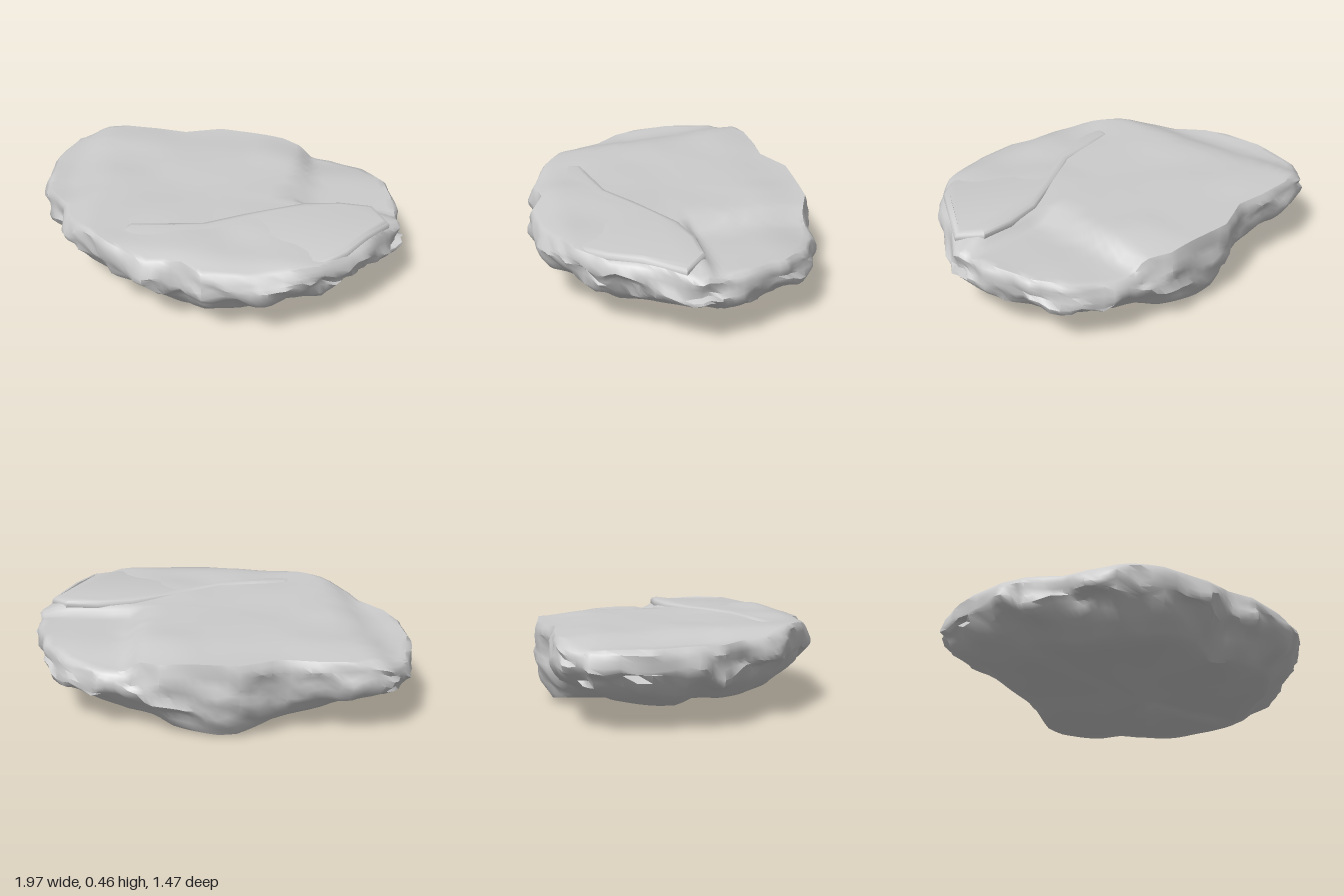
import * as THREE from 'three';
import { toCreasedNormals } from 'three/addons/utils/BufferGeometryUtils.js';

// Plan outline of the slab as x, z pairs, running from +x towards +z
const OUTLINE = [
  [1, 0.04], [0.91, 0.2], [0.83, 0.35], [0.77, 0.46], [0.64, 0.59], [0.48, 0.66], [0.33, 0.71], [0.1, 0.73],
  [-0.02, 0.67], [-0.2, 0.69], [-0.42, 0.6], [-0.62, 0.47], [-0.72, 0.36], [-0.77, 0.24], [-0.9, 0.11],
  [-0.95, -0.02], [-0.99, -0.24], [-0.95, -0.52], [-0.84, -0.62], [-0.7, -0.67], [-0.5, -0.67], [-0.32, -0.65],
  [-0.12, -0.73], [0.1, -0.72], [0.26, -0.72], [0.4, -0.66], [0.56, -0.64], [0.75, -0.55], [0.88, -0.4],
  [0.94, -0.23], [0.97, -0.09],
];
const SUB = 4;

// Cross-section of the rim: height fraction, and how far in towards the base edge
const RIM = [
  [1, 0.16], [0.93, 0.08], [0.83, 0.03], [0.72, 0], [0.62, 0], [0.52, 0.04],
  [0.42, 0.14], [0.32, 0.28], [0.22, 0.45], [0.13, 0.66], [0.05, 0.86], [0, 1],
];
const TOP = [0, 0.15, 0.3, 0.42, 0.5, 0.58, 0.66, 0.74, 0.82, 0.88, 0.93];
const BASE = [0.88, 0.72, 0.54, 0.36, 0.18, 0];

const { smoothstep: step, lerp } = THREE.MathUtils;
const hash = (x, y, z) => {
  const s = Math.sin(x * 127.1 + y * 311.7 + z * 74.7) * 43758.5453;
  return s - Math.floor(s) - 0.5;
};

// Continuous lumps between -0.5 and 0.5
function lumps(x, y, z) {
  const a = Math.floor(x), b = Math.floor(y), c = Math.floor(z);
  const u = step(x - a, 0.1, 0.9), v = step(y - b, 0.15, 0.85), w = step(z - c, 0.1, 0.9);
  const row = (j, k) => lerp(hash(a, b + j, c + k), hash(a + 1, b + j, c + k), u);
  return lerp(lerp(row(0, 0), row(1, 0), v), lerp(row(0, 1), row(1, 1), v), w);
}

// Nearly level top with lower shelves at -x and at the back +x corner
function topHeight(x, z) {
  const leftShelf = 0.045 * step(-x + 0.2 * z, 0.62, 0.78);
  const backShelf = 0.05 * step(x - 0.1 * z, 0.42, 0.5) * step(-z, -0.02, 0.06) + 0.03 * step(x, 0.1, 0.5) * step(-z, 0.3, 0.65);
  const frontWear = 0.04 * step(z, 0.55, 0.74) + 0.05 * step(x, 0.82, 0.97) * step(z, -0.1, 0.05);
  return 0.432 - leftShelf - backShelf - frontWear - 0.015 * step(-z, 0.4, 0.7) + 0.016 * lumps(x * 4, 4, z * 4);
}

// Keel-like underside, deepest behind the middle
function baseHeight(x, z) {
  const across = x > 0 ? 0.1 * x : 0.04 * step(-x, 0, 0.35) + 0.03 * step(-x, 0.3, 0.8);
  const along = 0.03 * step(z, -0.09, -0.01) + (z > 0 ? 0.16 : 0.03) * z * z;
  return 0.015 + across + along + 0.3 * x * x * z * z + 0.045 * lumps(x * 5, 8, z * 5);
}

// Size of the underside relative to the outline
const baseScale = (x, z) => 0.76 + 0.12 * step(-z, 0, 0.6) * step(x, -0.6, -0.1) * (1 - 0.8 * step(x, 0, 0.4))
  - 0.04 * step(-x, 0.3, 0.9);

function rockGeometry() {
  // Subdivided outline
  const loop = [];
  OUTLINE.forEach(([x, z], i) => {
    const [nx, nz] = OUTLINE[(i + 1) % OUTLINE.length];
    for (let s = 0; s < SUB; s++) loop.push([lerp(x, nx, s / SUB), lerp(z, nz, s / SUB)]);
  });
  const n = loop.length;
  const positions = [];

  // Rings from the top centre, over the rim, to the base centre
  TOP.forEach((k) => loop.forEach(([x, z]) => positions.push(x * k, topHeight(x * k, z * k), z * k)));
  RIM.forEach(([v, inset]) => loop.forEach(([x, z]) => {
    const k = 1 - (1 - baseScale(x, z)) * inset;
    const px = x * k, pz = z * k;
    const lo = baseHeight(px, pz), y = lerp(lo, topHeight(px, pz), v);
    const bulge = Math.sin(v * Math.PI);
    const relief = 1 + bulge * (0.08 * lumps(px * 6, y * 16, pz * 6) + 0.05 * lumps(px * 13, y * 24, pz * 13) - 0.008);
    const lift = 0.07 * bulge * lumps(px * 8, y * 9 + 20, pz * 8);
    positions.push(px * relief, y + lift, pz * relief);
  }));
  BASE.forEach((f) => loop.forEach(([x, z]) => {
    const k = f * baseScale(x, z);
    positions.push(x * k, baseHeight(x * k, z * k), z * k);
  }));

  const rings = positions.length / 3 / n;
  const index = [];
  for (let r = 0; r < rings - 1; r++) for (let i = 0; i < n; i++) {
    const j = (i + 1) % n;
    const a = r * n + i, b = r * n + j, c = a + n, d = b + n;
    if (r < rings - 2) index.push(b, d, c);
    if (r > 0) index.push(a, b, c);
  }
  const geometry = new THREE.BufferGeometry();
  geometry.setAttribute('position', new THREE.Float32BufferAttribute(positions, 3));
  geometry.setIndex(index);
  return toCreasedNormals(geometry, Math.PI / 4);
}

// Raised plate over the front, rising towards +x, with an uneven worn edge
const PLATE = [
  [0.91, 0.1], [0.82, 0], [0.66, 0], [0.48, 0.04], [0.34, 0.12], [0.2, 0.2], [0.02, 0.32], [-0.16, 0.36],
  [-0.34, 0.4], [-0.42, 0.53], [-0.2, 0.62], [-0.03, 0.62], [0.1, 0.66], [0.32, 0.65], [0.47, 0.61],
  [0.62, 0.54], [0.74, 0.43], [0.82, 0.28],
];

function plateGeometry() {
  const shape = new THREE.Shape(PLATE.map(([x, z]) => new THREE.Vector2(x, -z)));
  const geometry = new THREE.ExtrudeGeometry(shape, {
    depth: 0.03, bevelThickness: 0.015, bevelSize: 0.03, bevelOffset: -0.02, bevelSegments: 2,
  });
  geometry.rotateX(-Math.PI / 2);
  const p = geometry.attributes.position;
  for (let i = 0; i < p.count; i++) {
    const x = p.getX(i), z = p.getZ(i);
    p.setY(i, p.getY(i) + 0.395 + 0.016 * x - 0.05 * step(z, 0.4, 0.72) - 0.03 * step(x, 0.8, 0.95));
  }
  return toCreasedNormals(geometry, Math.PI / 4);
}

export function createModel() {
  const group = new THREE.Group();
  group.name = 'flatRock';
  const material = new THREE.MeshStandardMaterial({ color: 0xcccccc });
  const add = (name, geometry) => {
    const mesh = new THREE.Mesh(geometry, material);
    mesh.name = name;
    group.add(mesh);
  };
  add('rockSlab', rockGeometry());
  add('frontPlate', plateGeometry());
  return group;
}
